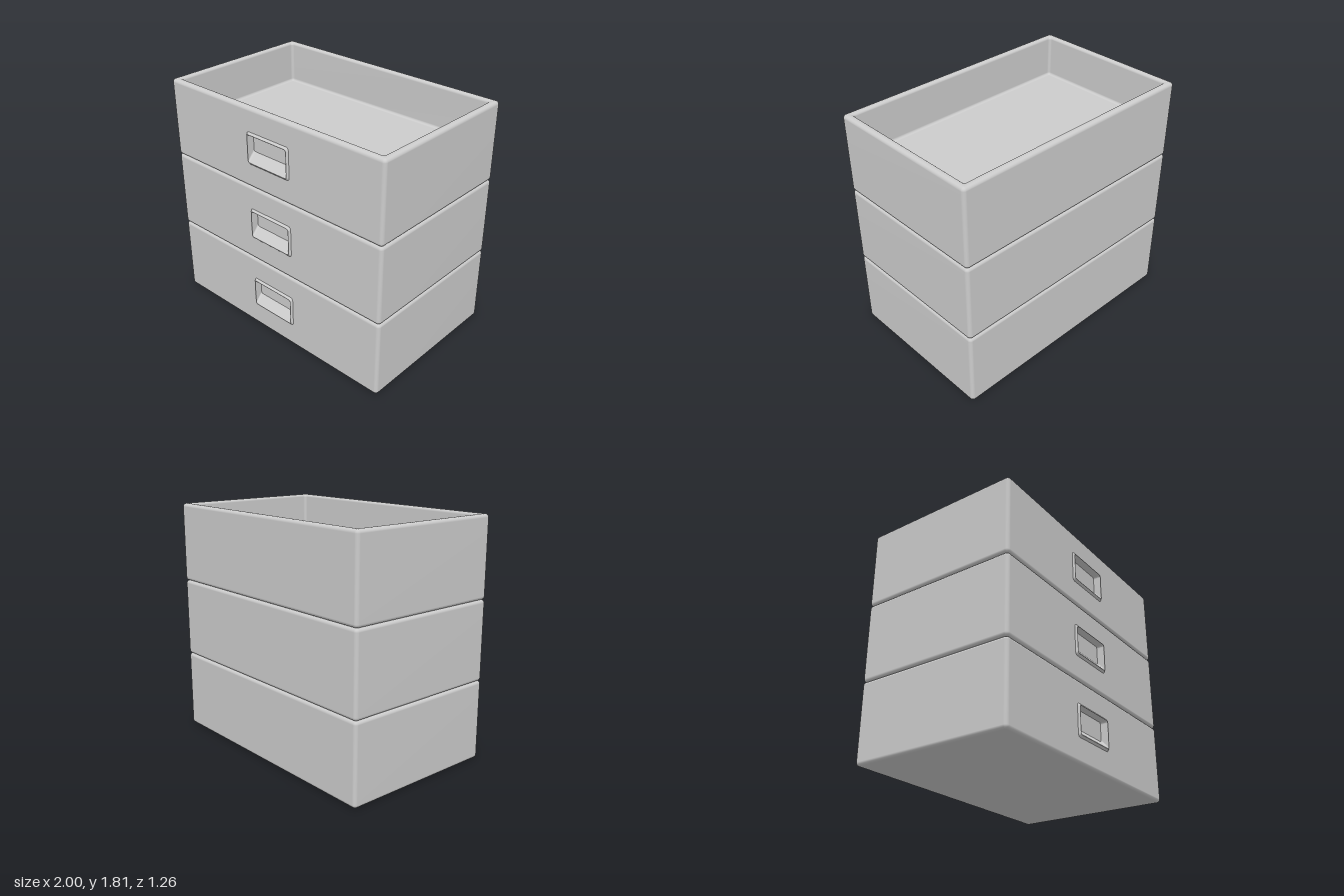
import * as THREE from 'three';

const H = 0.604;                 // height of one tray
const FRONT = 0.615, BACK = -0.63;
const EDGE = 0.025;              // rounding of the outer edges
const CORNER = 0.027;            // rounding of the upright corners
const WALL = 0.055, FLOOR = 0.28;
const SEG = 4, RING = 4 * (SEG + 1);

// Rounded rectangle, counter-clockwise, starting at the +x +y corner
function outline([w, y0, y1, , r]) {
  const pts = [];
  [[w - r, y1 - r], [r - w, y1 - r], [r - w, y0 + r], [w - r, y0 + r]].forEach(([cx, cy], k) => {
    for (let i = 0; i <= SEG; i++) {
      const a = (k + i / SEG) * Math.PI / 2;
      pts.push(new THREE.Vector2(cx + r * Math.cos(a), cy + r * Math.sin(a)));
    }
  });
  return pts;
}

// Skin through rings [halfWidth, y0, y1, level, radius]; skip(ring, side) leaves a gap
function loft(rings, { capStart = false, capEnd = false, skip = () => false } = {}) {
  const pos = [], all = [], kept = [];
  rings.forEach(r => outline(r).forEach(p => pos.push(p.x, p.y, r[3])));
  const face = (open, ...tris) => {
    all.push(...tris);
    if (!open) kept.push(...tris);
  };
  for (let i = 0; i < rings.length - 1; i++) {
    for (let j = 0; j < RING; j++) {
      const a = i * RING + j, b = i * RING + (j + 1) % RING;
      face(skip(i, j), a, b, b + RING, a, b + RING, a + RING);
    }
  }
  const cap = (i, flip) => {
    const c = pos.length / 3, [, y0, y1, level] = rings[i];
    pos.push(0, (y0 + y1) / 2, level);
    for (let j = 0; j < RING; j++) {
      const a = i * RING + j, b = i * RING + (j + 1) % RING;
      face(false, c, ...(flip ? [b, a] : [a, b]));
    }
  };
  if (capStart) cap(0, true);
  if (capEnd) cap(rings.length - 1, false);
  const g = new THREE.BufferGeometry();
  g.setAttribute('position', new THREE.Float32BufferAttribute(pos, 3));
  g.setIndex(all);
  g.computeVertexNormals();
  g.setIndex(kept);
  return g;
}

function faceted(g) {
  const flat = g.toNonIndexed();
  flat.computeVertexNormals();
  return flat;
}

// Open tray: rounded bottom edge, walls, rounded rim, cavity and filleted floor
function trayGeometry() {
  const rings = [];
  const add = (inset, y, r) => rings.push([1 - inset, -FRONT + inset, -BACK - inset, y, r]);
  const N = 5, arc = fn => {
    for (let i = 0; i <= N; i++) {
      const a = i / N * Math.PI / 2;
      fn(Math.sin(a), Math.cos(a));
    }
  };
  arc((s, c) => add(EDGE * (1 - s), EDGE * (1 - c), CORNER - EDGE * (1 - s)));
  arc((s, c) => add(EDGE * (1 - c), H - EDGE * (1 - s), CORNER - EDGE * (1 - c)));
  arc((s, c) => add(WALL - 0.02 * (1 - s), H - 0.02 * (1 - c), 0.002 + 0.02 * s));
  arc((s, c) => add(WALL + 0.02 * (1 - c), FLOOR + 0.02 * (1 - s), 0.022 - 0.02 * (1 - c)));
  const frontSide = 3 * (SEG + 1) - 1;
  const g = loft(rings, {
    capStart: true, capEnd: true, skip: (i, j) => i === N && j === frontSide,
  });
  return g.rotateX(-Math.PI / 2);
}

// Pull: a thin raised lip around a recess with a sloping floor
const lipBase = [0.2, 0.182, 0.428, FRONT, 0.022];
const lipEdge = [0.188, 0.197, 0.413, 0.63, 0.017];
const mouth = [0.185, 0.2, 0.41, 0.63, 0.015];
const recessBack = [0.185, 0.265, 0.41, 0.57, 0.015];

// Flat front panel with an opening for the pull
function frontGeometry() {
  const x = 1 - CORNER;
  const shape = new THREE.Shape([[-x, EDGE], [x, EDGE], [x, H - EDGE], [-x, H - EDGE]]
    .map(p => new THREE.Vector2(...p)));
  shape.holes.push(new THREE.Path(outline(lipBase)));
  return new THREE.ShapeGeometry(shape).translate(0, 0, FRONT);
}

export function createModel() {
  const grey = new THREE.MeshStandardMaterial({ color: 0xcccccc });
  grey.name = 'light grey';

  const parts = {
    trayShell: trayGeometry(),
    frontPanel: frontGeometry(),
    pullLip: faceted(loft([lipBase, lipEdge, mouth])),
    pullRecess: faceted(loft([mouth, recessBack], { capEnd: true })),
  };

  const model = new THREE.Group();
  model.name = 'stackedDrawers';
  ['bottomDrawer', 'middleDrawer', 'topDrawer'].forEach((name, i) => {
    const drawer = new THREE.Group();
    drawer.name = name;
    drawer.position.y = i * H;
    for (const [part, geometry] of Object.entries(parts)) {
      const mesh = new THREE.Mesh(geometry, grey);
      mesh.name = part;
      drawer.add(mesh);
    }
    model.add(drawer);
  });
  return model;
}
